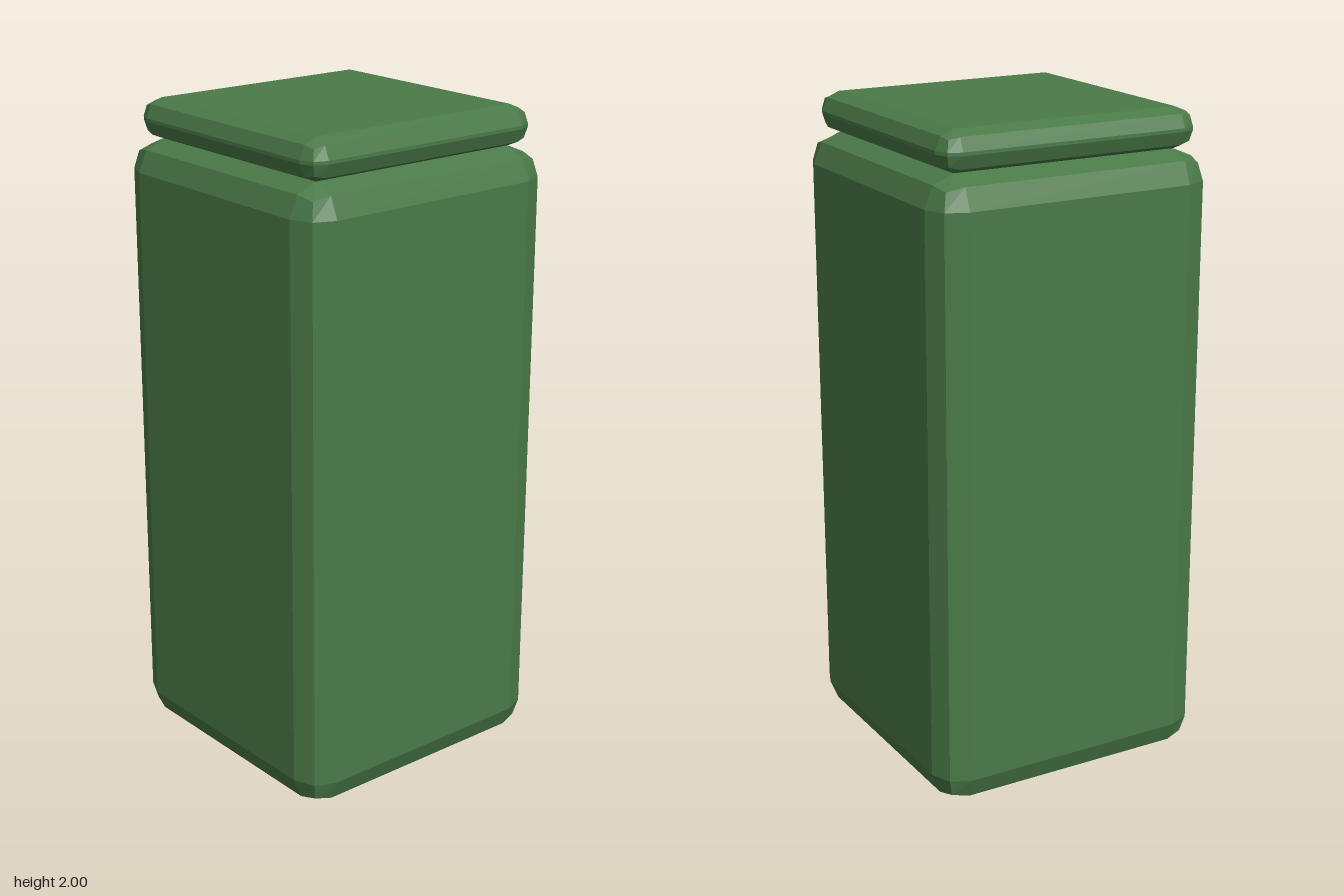
import * as THREE from 'three';
import { RoundedBoxGeometry } from 'three/addons/geometries/RoundedBoxGeometry.js';

const green = new THREE.MeshStandardMaterial({ color: 0x4a7a48, flatShading: true });

// Square block with two-facet bevelled edges, standing on baseY
function bevelledBlock(name, width, height, bevel, baseY) {
  const mesh = new THREE.Mesh(new RoundedBoxGeometry(width, height, width, 1, bevel), green);
  mesh.name = name;
  mesh.position.y = baseY + height / 2;
  return mesh;
}

export function createModel() {
  const model = new THREE.Group();
  model.name = 'squareCanister';
  model.add(
    bevelledBlock('body', 0.888, 1.88, 0.09, 0), // tall container
    bevelledBlock('lid', 0.82, 0.12, 0.055, 1.88) // slightly narrower cap
  );
  return model;
}
